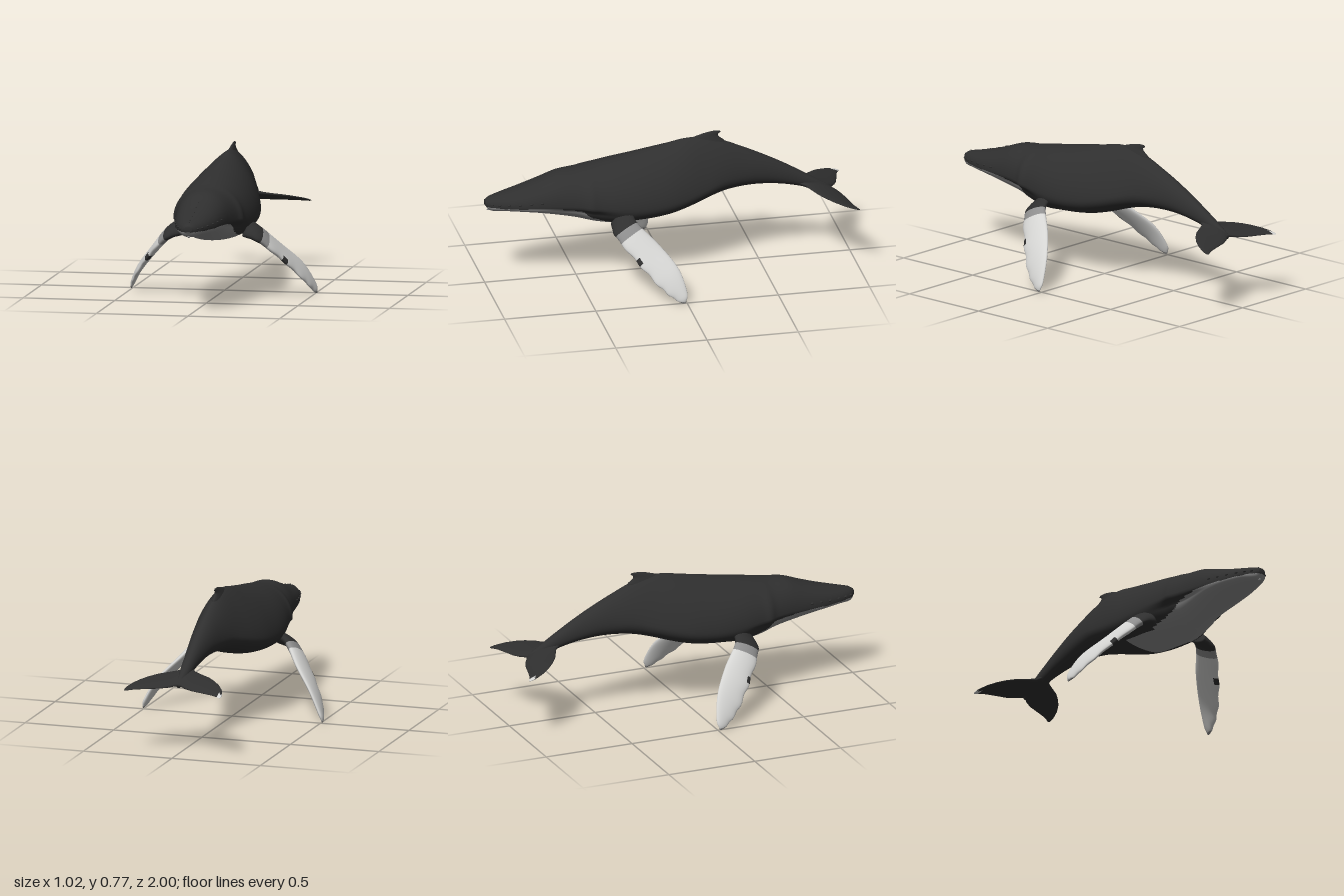
import * as THREE from 'three';

const skin = new THREE.MeshStandardMaterial({ color: 0x2f2f2f });
skin.name = 'charcoal skin';
const throat = new THREE.MeshStandardMaterial({ color: 0x8e8e8e });
throat.name = 'grey throat';
const pale = new THREE.MeshStandardMaterial({ color: 0xd4d4d2 });
pale.name = 'pale flipper';

const V = (x, y, z) => new THREE.Vector3(x, y, z);
const curve = (pts) => new THREE.CatmullRomCurve3(pts.map((p) => V(...p)), false, 'catmullrom');

// Closed skin over a list of equal rings; pick(centre, ringIndex) gives each quad's material
function loft(name, rings, materials, pick = () => 0) {
  const n = rings[0].length;
  const pts = rings.flat();
  const lists = materials.map(() => []);
  const tri = (k, a, b, c) => lists[k].push(a, b, c);
  for (let i = 0; i < rings.length - 1; i++) {
    for (let j = 0; j < n; j++) {
      const a = i * n + j, b = i * n + (j + 1) % n, c = a + n, d = b + n;
      const mid = pts[a].clone().add(pts[b]).add(pts[c]).add(pts[d]).multiplyScalar(0.25);
      const k = pick(mid, i);
      tri(k, a, c, b);
      tri(k, b, c, d);
    }
  }
  for (const i of [0, rings.length - 1]) {
    const centre = rings[i].reduce((s, p) => s.add(p), V(0, 0, 0)).divideScalar(n);
    const m = pts.push(centre) - 1;
    const k = pick(centre, i);
    for (let j = 0; j < n; j++) {
      const a = i * n + j, b = i * n + (j + 1) % n;
      if (i === 0) tri(k, a, b, m);
      else tri(k, b, a, m);
    }
  }
  // Turn the faces outward if the enclosed volume is negative
  let volume = 0;
  for (const l of lists) {
    for (let i = 0; i < l.length; i += 3) {
      volume += pts[l[i]].dot(pts[l[i + 1]].clone().cross(pts[l[i + 2]]));
    }
  }
  if (volume < 0) lists.forEach((l) => l.reverse());
  const geo = new THREE.BufferGeometry().setFromPoints(pts);
  geo.setIndex(lists.flat());
  let start = 0;
  lists.forEach((l, k) => {
    geo.addGroup(start, l.length, k);
    start += l.length;
  });
  geo.computeVertexNormals();
  const mesh = new THREE.Mesh(geo, materials);
  mesh.name = name;
  return mesh;
}

// Body stations: z, top, bottom, half width, height of widest point, roundness of the back
const stations = [
  [1.0, 0.487, 0.455, 0.02, 0.468, 2], [0.97, 0.503, 0.426, 0.047, 0.462, 2],
  [0.9, 0.52, 0.425, 0.08, 0.462, 2.1], [0.8, 0.547, 0.418, 0.11, 0.46, 2.1],
  [0.7, 0.58, 0.403, 0.13, 0.46, 2.1], [0.6, 0.615, 0.38, 0.147, 0.457, 2.1],
  [0.5, 0.627, 0.354, 0.169, 0.452, 2.05], [0.45, 0.635, 0.341, 0.19, 0.449, 2],
  [0.4, 0.645, 0.329, 0.193, 0.445, 1.95], [0.3, 0.664, 0.32, 0.208, 0.438, 1.85],
  [0.2, 0.682, 0.329, 0.214, 0.435, 1.75], [0.1, 0.702, 0.336, 0.21, 0.437, 1.67],
  [0.0, 0.721, 0.35, 0.198, 0.447, 1.6], [-0.1, 0.742, 0.377, 0.175, 0.465, 1.48],
  [-0.2, 0.742, 0.41, 0.145, 0.49, 1.4], [-0.3, 0.714, 0.435, 0.112, 0.515, 1.5],
  [-0.4, 0.67, 0.446, 0.086, 0.52, 1.65], [-0.5, 0.622, 0.446, 0.066, 0.515, 1.8],
  [-0.6, 0.57, 0.436, 0.05, 0.49, 1.9], [-0.7, 0.512, 0.415, 0.037, 0.457, 2],
  [-0.8, 0.45, 0.385, 0.028, 0.415, 2], [-0.89, 0.394, 0.364, 0.012, 0.38, 2],
];
const outline = curve(stations.map((s) => [s[1], s[2], s[3]]));
const shaping = curve(stations.map((s) => [s[0], s[4], s[5]]));

// Point on the body surface at t (nose to tail) and angle a (0 = left side, PI/2 = back)
function bodyPoint(t, a) {
  const { x: top, y: bottom, z: w } = outline.getPoint(t);
  const { x: z, y: ym, z: round } = shaping.getPoint(t);
  const c = Math.cos(a), s = Math.sin(a);
  const e = 2 / (s >= 0 ? round : 2.15);
  const h = s >= 0 ? top - ym : ym - bottom;
  // The lower jaw is tucked in below the cheeks
  const tuck = 0.18 * Math.exp(-(((z - 0.5) / 0.14) ** 2)) * Math.min(1, Math.max(0, -s * 4));
  return V(w * (1 - tuck) * Math.sign(c) * Math.abs(c) ** e, ym + h * Math.sign(s) * Math.abs(s) ** e, z);
}

function ring(n, fn) {
  return Array.from({ length: n }, (_, j) => fn((j / n) * Math.PI * 2));
}

function buildBody() {
  const steps = 180;
  const rings = Array.from({ length: steps + 1 }, (_, i) => ring(96, (a) => bodyPoint(i / steps, a)));
  const isThroat = (p) => p.z > 0.05 && p.y < 0.455 && Math.abs(p.x) < (p.z < 0.28 ? 0.122 : 0.14);
  return loft('body', rings, [skin, throat], (p) => (isThroat(p) ? 1 : 0));
}

// Long knobbly flipper between a leading and a trailing edge
function buildFlipper(side) {
  const lead = curve([[0.17, 0.352, 0.345], [0.262, 0.316, 0.338], [0.375, 0.2, 0.24],
    [0.462, 0.085, 0.135], [0.497, 0.02, 0.055], [0.505, 0.003, 0.018]]);
  const trail = curve([[0.17, 0.425, 0.225], [0.235, 0.378, 0.215], [0.325, 0.28, 0.115],
    [0.425, 0.175, 0.03], [0.492, 0.06, -0.003], [0.508, 0.008, 0.008]]);
  const thick = curve([[0.033, 0, 0], [0.027, 0, 0], [0.021, 0, 0], [0.017, 0, 0], [0.012, 0, 0], [0.003, 0, 0]]);
  const steps = 50;
  const rings = Array.from({ length: steps + 1 }, (_, i) => {
    const t = i / steps;
    const l = lead.getPoint(t), r = trail.getPoint(t);
    const mid = l.clone().add(r).multiplyScalar(0.5);
    const half = l.clone().sub(mid);
    const normal = lead.getTangent(t).add(trail.getTangent(t)).cross(half).normalize();
    const knob = 1 + 0.06 * Math.sin(t * 48) * Math.sin(t * Math.PI);
    return ring(24, (a) => {
      const c = Math.cos(a);
      const p = mid.clone().addScaledVector(half, c > 0 ? c * knob : c)
        .addScaledVector(normal, thick.getPoint(t).x * Math.sin(a));
      p.x *= side;
      return p;
    });
  });
  // Dark shoulder, grey band, pale blade with a dark knob on the leading edge
  const knobSpot = V(0.375 * side, 0.2, 0.24);
  const colourAt = (p, i) => {
    if (i < steps * 0.2 || p.distanceTo(knobSpot) < 0.024) return 0;
    return i < steps * 0.26 || p.y < 0.015 ? 1 : 2;
  };
  return loft(side > 0 ? 'leftFlipper' : 'rightFlipper', rings, [skin, throat, pale], colourAt);
}

// Tail flukes, lofted from tip to tip: x, leading z, trailing z, half thickness
function buildFlukes() {
  const half = [[0, -0.68, -0.9, 0.022], [0.02, -0.7, -0.907, 0.021], [0.045, -0.745, -0.925, 0.017],
    [0.09, -0.768, -0.945, 0.013], [0.14, -0.793, -0.957, 0.011], [0.185, -0.828, -0.968, 0.009],
    [0.22, -0.864, -0.977, 0.007], [0.25, -0.908, -0.99, 0.006], [0.266, -0.945, -0.999, 0.004],
    [0.273, -0.967, -0.995, 0.002]];
  const all = [...half.slice(1).reverse().map(([x, ...r]) => [-x, ...r]), ...half];
  const rings = all.map(([x, zl, zt, th]) => ring(20, (a) => {
    const z = (zl + zt) / 2 + ((zl - zt) / 2) * Math.cos(a);
    return V(x, 0.422 + (z + 0.75) * 0.27 + th * Math.sin(a), z);
  }));
  const isPaleTip = (p) => p.x < -0.25 && p.z < -0.965;
  return loft('tailFlukes', rings, [skin, pale], (p) => (isPaleTip(p) ? 1 : 0));
}

// Hooked back fin: height, front z, rear z, half thickness
function buildBackFin() {
  const levels = [[0.68, -0.06, -0.34, 0.036], [0.715, -0.09, -0.31, 0.025], [0.738, -0.125, -0.28, 0.016],
    [0.752, -0.165, -0.278, 0.01], [0.762, -0.2, -0.294, 0.007], [0.77, -0.24, -0.288, 0.003]];
  const rings = levels.map(([y, zf, zb, th]) => ring(20, (a) =>
    V(th * Math.sin(a), y, (zf + zb) / 2 + ((zf - zb) / 2) * Math.cos(a))));
  return loft('backFin', rings, [skin]);
}

// Low rounded bumps on the head
function buildBumps() {
  const group = new THREE.Group();
  group.name = 'headBumps';
  const ball = new THREE.SphereGeometry(1, 10, 8);
  const add = (name, t, a, r, material = skin) => {
    const m = new THREE.Mesh(ball, material);
    m.name = name;
    m.position.copy(bodyPoint(t, a));
    m.scale.set(r * 0.7, r * 0.5, r);
    group.add(m);
  };
  for (let i = 0; i < 6; i++) {
    const t = 0.05 + i * 0.027;
    add('crownBump', t, Math.PI / 2, 0.006);
    for (const s of [1, -1]) add('lipBump', t, Math.PI / 2 - s * 1.35, 0.01);
  }
  add('chinBump', 0.04, -Math.PI / 2, 0.012, throat);
  return group;
}

export function createModel() {
  const whale = new THREE.Group();
  whale.name = 'whale';
  whale.add(buildBody(), buildFlipper(1), buildFlipper(-1), buildFlukes(), buildBackFin(), buildBumps());
  return whale;
}
